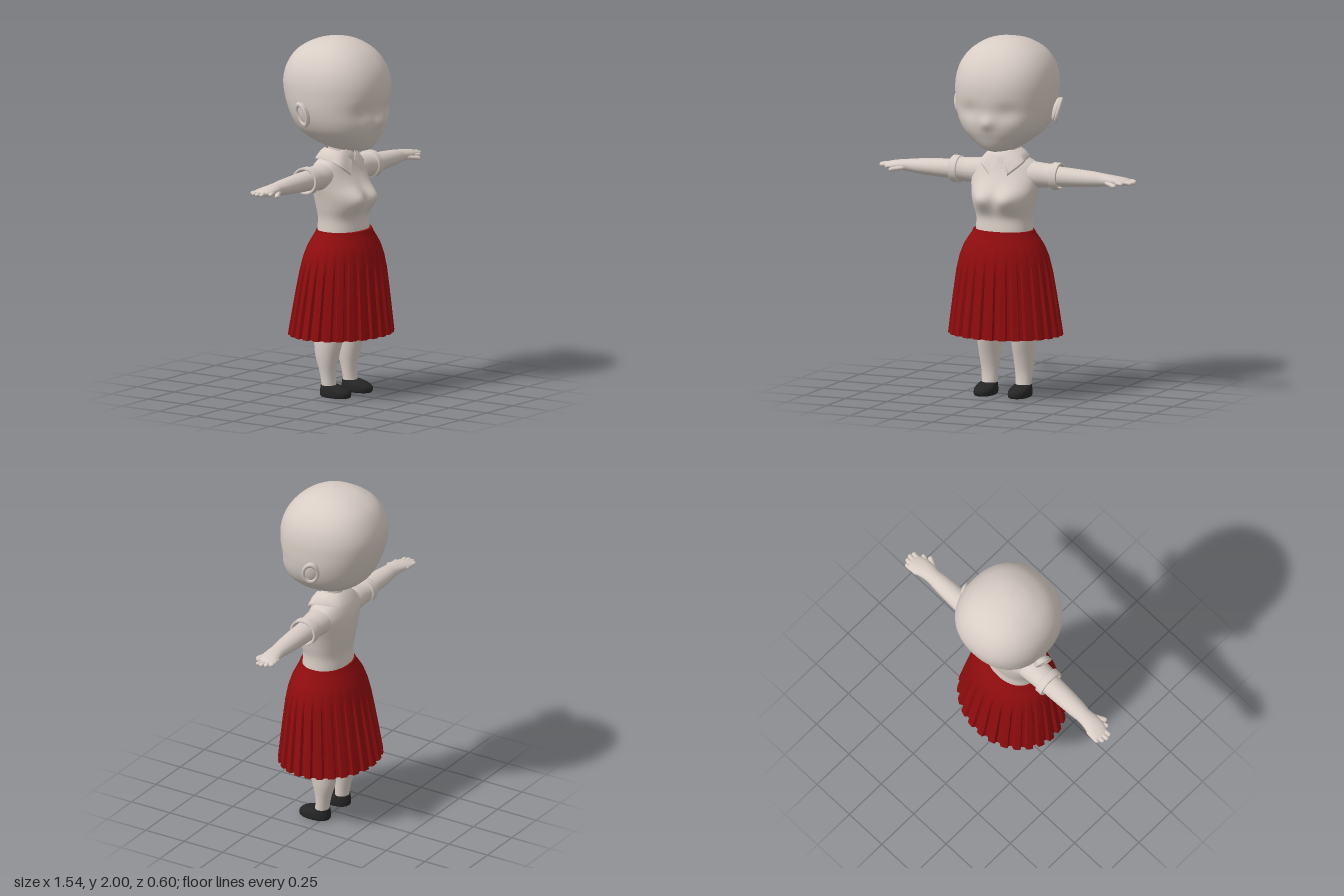
import * as THREE from 'three';
import { toCreasedNormals } from 'three/addons/utils/BufferGeometryUtils.js';

const material = (name, color) => {
  const m = new THREE.MeshStandardMaterial({ color });
  m.name = name;
  return m;
};

// Uniform Catmull-Rom through rows of numbers
function smoothRows(rows, steps) {
  const out = [];
  for (let i = 0; i < rows.length - 1; i++) {
    const p0 = rows[Math.max(i - 1, 0)], p1 = rows[i], p2 = rows[i + 1], p3 = rows[Math.min(i + 2, rows.length - 1)];
    for (let s = 0; s < steps; s++) {
      const t = s / steps;
      out.push(p1.map((b, k) => 0.5 * (2 * b + (p2[k] - p0[k]) * t
        + (2 * p0[k] - 5 * b + 4 * p2[k] - p3[k]) * t * t
        + (3 * b - p0[k] - 3 * p2[k] + p3[k]) * t * t * t)));
    }
  }
  out.push(rows[rows.length - 1]);
  return out;
}

// Closed surface over rows of [height, centre x, half width, front z, back z]
function loft(rows, { n = 40, steps = 4, power = 2, deform } = {}) {
  const rings = smoothRows(rows, steps), pos = [], index = [];
  const pow = (c) => Math.sign(c) * Math.abs(c) ** (2 / power);
  rings.forEach(([y, cx, hw, zf, zb], j) => {
    for (let i = 0; i < n; i++) {
      const a = (i / n) * Math.PI * 2;
      const v = new THREE.Vector3(cx + hw * pow(Math.sin(a)), y, (zf + zb) / 2 + (zf - zb) / 2 * pow(Math.cos(a)));
      if (deform) deform(v, i, j);
      pos.push(v.x, v.y, v.z);
    }
  });
  const last = (rings.length - 1) * n, c0 = rings.length * n;
  for (const r of [rings[0], rings[rings.length - 1]]) pos.push(r[1], r[0], (r[3] + r[4]) / 2);
  for (let i = 0; i < n; i++) {
    const k = (i + 1) % n;
    for (let b = 0; b < last; b += n) index.push(b + i, b + k, b + n + k, b + i, b + n + k, b + n + i);
    index.push(c0, k, i, c0 + 1, last + i, last + k);
  }
  const g = new THREE.BufferGeometry();
  g.setAttribute('position', new THREE.Float32BufferAttribute(pos, 3));
  g.setIndex(index);
  g.computeVertexNormals();
  return g;
}

// Mirror in x, keeping faces outward
function mirrored(geo) {
  const g = geo.clone().scale(-1, 1, 1), ix = g.index.array;
  for (let i = 0; i < ix.length; i += 3) [ix[i], ix[i + 1]] = [ix[i + 1], ix[i]];
  g.computeVertexNormals();
  return g;
}

// Flattened finger between two points
function finger(a, b, r) {
  const from = new THREE.Vector3(...a), dir = new THREE.Vector3(...b).sub(from), len = dir.length();
  const g = new THREE.CapsuleGeometry(r, len - r, 6, 12);
  g.applyQuaternion(new THREE.Quaternion().setFromUnitVectors(new THREE.Vector3(0, 1, 0), dir.clone().normalize()));
  g.scale(1, 0.8, 1);
  return g.translate(from.x + dir.x / 2, from.y + dir.y / 2, from.z + dir.z / 2);
}

const bump = (d, w) => Math.exp(-((d / w) ** 2));

export function createModel() {
  const model = new THREE.Group();
  const pale = material('pale clay', 0xd8cdc5), red = material('skirt red', 0x8f0c0e), black = material('shoe black', 0x252525);
  pale.side = THREE.FrontSide;
  const add = (name, geo, mat) => {
    const m = new THREE.Mesh(geo, mat);
    m.name = name;
    model.add(m);
  };
  const addPair = (name, geo, mat) => {
    add('left' + name, geo, mat);
    add('right' + name, mirrored(geo), mat);
  };

  // Head with shallow eye hollows and a small nose
  add('head', loft([
    [1.378, 0, 0.02, 0.17, 0.02], [1.39, 0, 0.085, 0.205, -0.05], [1.42, 0, 0.135, 0.23, -0.12],
    [1.46, 0, 0.187, 0.25, -0.18], [1.5, 0, 0.225, 0.266, -0.215], [1.555, 0, 0.253, 0.278, -0.245],
    [1.62, 0, 0.27, 0.28, -0.27], [1.69, 0, 0.277, 0.288, -0.29], [1.77, 0, 0.276, 0.284, -0.297],
    [1.85, 0, 0.255, 0.255, -0.275], [1.92, 0, 0.207, 0.2, -0.228], [1.97, 0, 0.135, 0.125, -0.15],
    [1.992, 0, 0.07, 0.06, -0.075], [2, 0, 0.004, 0.002, -0.002],
  ], {
    n: 72, power: 2.25,
    deform: (v) => {
      if (v.z < 0.1) return;
      v.z += 0.022 * bump(v.x, 0.03) * bump(v.y - 1.55, 0.035);
      v.z -= 0.014 * bump(Math.abs(v.x) - 0.11, 0.06) * bump(v.y - 1.61, 0.05);
    },
  }), pale);

  // Ears: bowl and raised rim
  const placeEar = (g) => g.rotateX(-0.15).rotateZ(-0.25).rotateY(0.35).translate(0.283, 1.605, -0.03);
  addPair('Ear', placeEar(new THREE.SphereGeometry(1, 24, 16).scale(0.02, 0.068, 0.045)), pale);
  addPair('EarRim', placeEar(new THREE.TorusGeometry(0.8, 0.2, 10, 32).rotateY(Math.PI / 2)
    .scale(0.055, 0.074, 0.05).translate(0.012, 0, 0)), pale);

  add('neck', new THREE.CylinderGeometry(0.052, 0.058, 0.16, 32).translate(0, 1.36, 0), pale);

  // Blouse
  add('blouse', loft([
    [0.9, 0, 0.162, 0.165, -0.09], [0.94, 0, 0.16, 0.163, -0.09], [1, 0, 0.159, 0.158, -0.087],
    [1.06, 0, 0.172, 0.17, -0.096], [1.13, 0, 0.187, 0.168, -0.106], [1.19, 0, 0.2, 0.14, -0.11],
    [1.25, 0, 0.205, 0.108, -0.108], [1.3, 0, 0.175, 0.088, -0.092], [1.34, 0, 0.1, 0.075, -0.07],
    [1.37, 0, 0.06, 0.055, -0.055],
  ], {
    n: 64, power: 2.2,
    deform: (v) => {
      if (v.z > 0.05) v.z += 0.05 * bump(Math.abs(v.x) - 0.075, 0.07) * bump(v.y - 1.11, 0.06);
    },
  }), pale);

  // Short sleeves with turned cuffs
  const sleeve = new THREE.LatheGeometry([
    [0.1, 0.07], [0.16, 0.073], [0.22, 0.068], [0.278, 0.065], [0.28, 0.074], [0.283, 0.076], [0.322, 0.075],
    [0.325, 0.073], [0.325, 0.065], [0.322, 0.062], [0.28, 0.055],
  ].map(([x, r]) => new THREE.Vector2(r, x)), 40);
  addPair('Sleeve', sleeve.scale(1, 1, 1.08).rotateZ(-Math.PI / 2).translate(0, 1.237, 0), pale);

  // Collar: a folded band ending in two pointed flaps
  const inner = [[0.015, 1.318, 0.105], [0.06, 1.365, 0.068], [0.075, 1.38, 0], [0.05, 1.38, -0.052], [0, 1.38, -0.068]];
  const outer = [[0.055, 1.25, 0.128], [0.118, 1.305, 0.088], [0.128, 1.335, 0], [0.09, 1.33, -0.085], [0, 1.322, -0.108]];
  const around = (pts) => new THREE.CatmullRomCurve3([...pts, ...pts.slice(0, -1).reverse().map(([x, y, z]) => [-x, y, z])]
    .map((p) => new THREE.Vector3(...p)), false, 'centripetal');
  const inCurve = around(inner), outCurve = around(outer), cPos = [], cIdx = [], N = 64;
  for (let i = 0; i <= N; i++) {
    const a = inCurve.getPoint(i / N), b = outCurve.getPoint(i / N), m = a.clone().lerp(b, 0.5);
    m.y += 0.008;
    const lift = new THREE.Vector3(0, 0.01, 0.004);
    const ring = [a, m, b, b.clone().sub(lift), a.clone().sub(lift)];
    ring.forEach((p) => cPos.push(p.x, p.y, p.z));
    for (let k = 0; k < 5 && i < N; k++) {
      const p = i * 5 + k, q = i * 5 + (k + 1) % 5;
      cIdx.push(p, q, q + 5, p, q + 5, p + 5);
    }
  }
  const collar = new THREE.BufferGeometry();
  collar.setAttribute('position', new THREE.Float32BufferAttribute(cPos, 3));
  collar.setIndex(cIdx);
  const cloth = material('collar pale', 0xd8cdc5);
  cloth.side = THREE.DoubleSide;
  add('collar', toCreasedNormals(collar, 0.8), cloth);

  // Arms and palms, lofted upright then laid along x
  addPair('Arm', loft([
    [0.2, 0, 0.056, 0.062, -0.064], [0.32, 0, 0.055, 0.06, -0.062], [0.42, 0, 0.05, 0.056, -0.058],
    [0.52, 0, 0.043, 0.049, -0.053], [0.58, 0, 0.036, 0.042, -0.048], [0.63, 0, 0.03, 0.046, -0.054],
    [0.68, 0.002, 0.024, 0.044, -0.066], [0.72, 0.005, 0.017, 0.03, -0.07], [0.745, 0.006, 0.008, 0.01, -0.058],
  ], { n: 32 }).rotateZ(-Math.PI / 2).translate(0, 1.235, 0), pale);
  [
    [[0.61, 1.228, 0.03], [0.678, 1.214, 0.068], 0.015],
    [[0.65, 1.232, 0.028], [0.712, 1.226, 0.046], 0.013],
    [[0.67, 1.232, 0.008], [0.757, 1.229, 0.016], 0.014],
    [[0.67, 1.233, -0.015], [0.764, 1.23, -0.008], 0.014],
    [[0.67, 1.233, -0.038], [0.757, 1.231, -0.034], 0.014],
    [[0.66, 1.233, -0.054], [0.737, 1.232, -0.058], 0.013],
  ].forEach(([a, b, r], i) => addPair(i ? 'Finger' + i : 'Thumb', finger(a, b, r), pale));

  // Pleated skirt: lining up the inside, box pleats fading out towards the waist
  const outerRows = [
    [0.345, 0, 0.325, 0.297, -0.255], [0.45, 0, 0.311, 0.286, -0.236], [0.57, 0, 0.294, 0.273, -0.214],
    [0.7, 0, 0.274, 0.258, -0.188], [0.78, 0, 0.255, 0.243, -0.168], [0.84, 0, 0.231, 0.224, -0.146],
    [0.88, 0, 0.205, 0.205, -0.125], [0.91, 0, 0.183, 0.19, -0.108], [0.93, 0, 0.174, 0.184, -0.1],
  ];
  const inset = ([y, cx, hw, zf, zb], d) => [y, cx, hw - d, zf - d, zb + d];
  const lining = [8, 6, 3, 0].map((i) => inset(outerRows[i], i > 5 ? 0.012 : 0.035));
  add('skirt', toCreasedNormals(loft([...lining, ...outerRows, inset(outerRows[8], 0.012)], {
    n: 208, steps: 1,
    deform: (v, i, j) => {
      if (j < 4 || i % 8 < 5) return;
      const k = 1 - 0.06 * (1 - THREE.MathUtils.smoothstep(v.y, 0.6, 0.87));
      v.x *= k;
      v.z = 0.03 + (v.z - 0.03) * k;
    },
  }), 0.5), red);

  // Legs
  addPair('Leg', loft([
    [0.03, 0.102, 0.042, 0.055, -0.028], [0.08, 0.102, 0.045, 0.047, -0.03], [0.14, 0.102, 0.05, 0.048, -0.042],
    [0.22, 0.103, 0.061, 0.066, -0.066], [0.3, 0.103, 0.066, 0.09, -0.077], [0.38, 0.102, 0.069, 0.107, -0.08],
    [0.55, 0.1, 0.082, 0.13, -0.085], [0.8, 0.092, 0.088, 0.14, -0.085],
  ], { n: 32 }), pale);

  // Slip-on shoes
  addPair('Shoe', loft([
    [0, 0.103, 0.05, 0.14, -0.03], [0.006, 0.103, 0.056, 0.148, -0.036], [0.025, 0.103, 0.058, 0.15, -0.037],
    [0.042, 0.103, 0.056, 0.138, -0.036], [0.055, 0.103, 0.051, 0.108, -0.034], [0.064, 0.103, 0.047, 0.07, -0.032],
  ], { n: 36, power: 2.3 }), black);

  return model;
}
